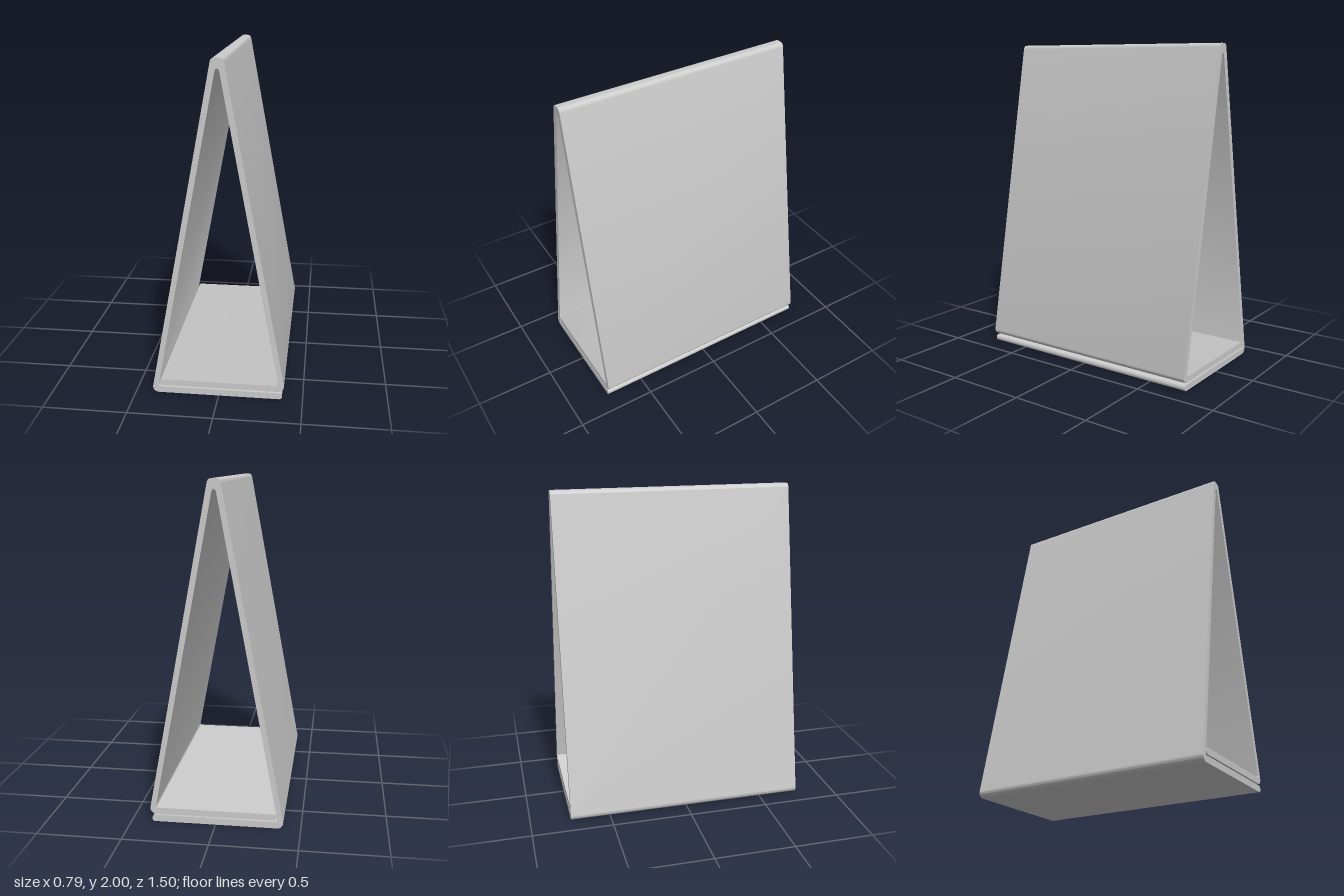
import * as THREE from 'three';
import { toCreasedNormals } from 'three/addons/utils/BufferGeometryUtils.js';

// Closed outline from corners [x, y, radius], each rounded by a tangent arc
function roundedOutline(corners) {
  const shape = new THREE.Shape();
  const n = corners.length;
  corners.forEach(([x, y, r], i) => {
    const p = new THREE.Vector2(x, y);
    const a = corners[(i + n - 1) % n], b = corners[(i + 1) % n];
    const u = new THREE.Vector2(a[0], a[1]).sub(p).normalize();
    const v = new THREE.Vector2(b[0], b[1]).sub(p).normalize();
    const half = Math.acos(u.dot(v)) / 2;
    const t = r / Math.tan(half);
    const c = u.clone().add(v).normalize().multiplyScalar(r / Math.sin(half)).add(p);
    const s = u.clone().multiplyScalar(t).add(p);
    const e = v.clone().multiplyScalar(t).add(p);
    if (i === 0) shape.moveTo(s.x, s.y);
    shape.absarc(c.x, c.y, r,
      Math.atan2(s.y - c.y, s.x - c.x), Math.atan2(e.y - c.y, e.x - c.x), u.cross(v) > 0);
  });
  shape.closePath();
  return shape;
}

export function createModel() {
  const group = new THREE.Group();
  group.name = 'tableTent';

  const depth = 1.5;
  const slope = 0.187;
  const outer = (y) => 0.405 - slope * y; // half width outside the legs
  const inner = (y) => 0.373 - slope * y; // half width inside the legs
  const [low, lowTop, up, upTop] = [0, 0.039, 0.048, 0.086]; // the two base layers

  // One folded strip: lower flap, left leg, ridge, right leg, upper flap
  const outline = roundedOutline([
    [0.378, lowTop, 0.018],
    [-inner(lowTop), lowTop, 0.006],
    [0, inner(0) / slope, 0.012],
    [inner(upTop), upTop, 0.012],
    [-0.358, upTop, 0.018],
    [-0.358, up, 0.018],
    [outer(up), up, 0.035],
    [outer(2) + 0.003, 2, 0.026],
    [-outer(2) - 0.003, 2, 0.026],
    [-outer(low), low, 0.035],
    [0.378, low, 0.018],
  ]);

  const geometry = new THREE.ExtrudeGeometry(outline, {
    depth, bevelEnabled: false, curveSegments: 10,
  });
  geometry.translate(0, 0, -depth / 2);

  const strip = new THREE.Mesh(
    toCreasedNormals(geometry, 0.6),
    new THREE.MeshStandardMaterial({ color: 0xcccccc }));
  strip.name = 'foldedSheet';
  group.add(strip);
  return group;
}
